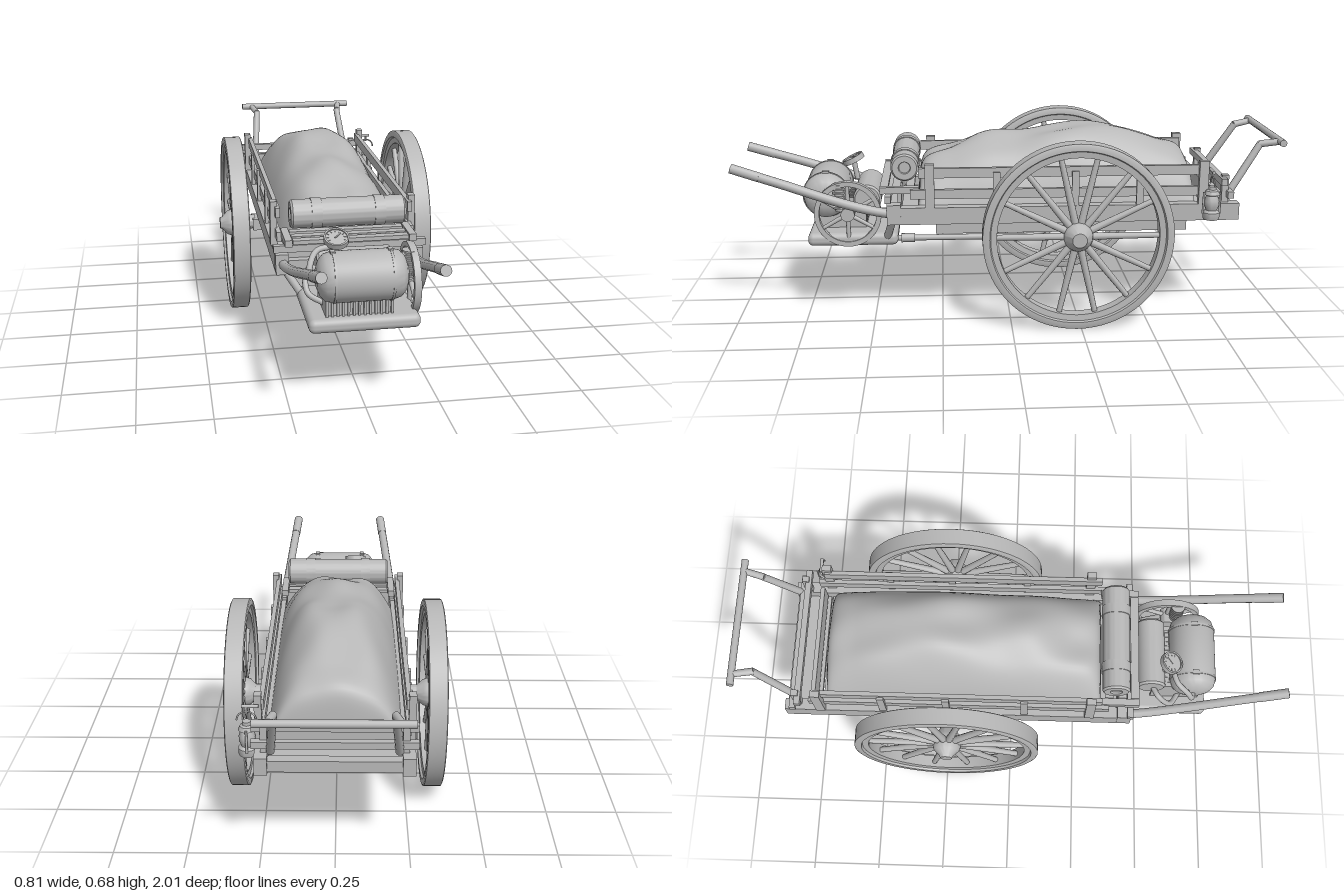
import * as THREE from 'three';
import { toCreasedNormals } from 'three/addons/utils/BufferGeometryUtils.js';
import { RoundedBoxGeometry } from 'three/addons/geometries/RoundedBoxGeometry.js';

export function createModel() {
  const model = new THREE.Group();
  const grey = new THREE.MeshStandardMaterial({ color: 0xb8b8b8 });
  const cloth = new THREE.MeshStandardMaterial({ color: 0xb8b8b8, side: THREE.DoubleSide });
  grey.name = 'plainGrey';
  cloth.name = 'clothGrey';
  const V = (x, y, z) => new THREE.Vector3(x, y, z);

  function add(name, geo, x = 0, y = 0, z = 0, parent = model, mat = grey) {
    const m = new THREE.Mesh(geo, mat);
    m.name = name;
    m.position.set(x, y, z);
    parent.add(m);
    return m;
  }
  const box = (name, w, h, d, x, y, z, parent) =>
    add(name, new THREE.BoxGeometry(w, h, d), x, y, z, parent);
  // Round bar between two points
  function bar(name, a, b, r0, r1 = r0, parent = model, seg = 14) {
    const m = add(name, new THREE.CylinderGeometry(r1, r0, a.distanceTo(b), seg), 0, 0, 0, parent);
    m.position.copy(a).add(b).multiplyScalar(0.5);
    m.quaternion.setFromUnitVectors(V(0, 1, 0), b.clone().sub(a).normalize());
    return m;
  }
  const tube = (name, pts, r, parent) =>
    add(name, new THREE.TubeGeometry(new THREE.CatmullRomCurve3(pts), 28, r, 10), 0, 0, 0, parent);
  // Turned part; profile is [radius, height], optionally laid along x
  function turned(profile, alongX = true, seg = 48) {
    const g = new THREE.LatheGeometry(profile.map(p => new THREE.Vector2(...p)), seg);
    if (alongX) g.rotateZ(-Math.PI / 2);
    return toCreasedNormals(g, 0.6);
  }

  // Wheels and axle
  const tyre = [[0.29, -0.022], [0.312, -0.024], [0.316, -0.033], [0.336, -0.033], [0.341, -0.030], [0.341, 0.030],
    [0.336, 0.033], [0.316, 0.033], [0.312, 0.024], [0.29, 0.022], [0.29, -0.022]];
  const hub = [[0, -0.06], [0.022, -0.06], [0.026, -0.05], [0.047, -0.03], [0.052, -0.015], [0.052, 0.015],
    [0.047, 0.03], [0.03, 0.05], [0.026, 0.058], [0, 0.058]];
  for (const s of [-1, 1]) {
    const wheel = new THREE.Group();
    wheel.name = s > 0 ? 'leftWheel' : 'rightWheel';
    wheel.position.set(s * 0.344, 0.341, -0.235);
    model.add(wheel);
    add('tyre', turned(tyre, true, 72), 0, 0, 0, wheel);
    add('hub', turned(hub), 0, 0, 0, wheel);
    for (let i = 0; i < 14; i++) {
      const a = (i + 0.5) / 14 * Math.PI * 2, c = Math.cos(a), n = Math.sin(a);
      bar('spoke', V(0, c * 0.04, n * 0.04), V(0, c * 0.295, n * 0.295), 0.014, 0.010, wheel, 10);
    }
  }
  bar('axle', V(-0.32, 0.341, -0.235), V(0.32, 0.341, -0.235), 0.02);

  // Bed: floor planks, cross beams and side frames
  for (let i = 0; i < 11; i++) box('floorPlank', 0.43, 0.018, 0.107, 0, 0.385, 0.37 - i * 0.113);
  for (const z of [0.42, -0.81]) box('crossBeam', 0.44, 0.04, 0.035, 0, 0.395, z);
  for (const s of [-1, 1]) {
    const side = new THREE.Group();
    side.name = s > 0 ? 'leftSide' : 'rightSide';
    model.add(side);
    box('bedRail', 0.042, 0.062, 1.28, s * 0.235, 0.398, -0.195, side);
    box('underBeam', 0.035, 0.042, 0.92, s * 0.205, 0.343, -0.19, side);
    box('axleBlock', 0.06, 0.045, 0.08, s * 0.245, 0.338, -0.235, side);
    add('axleCollar', turned([[0, -0.02], [0.028, -0.02], [0.028, 0.02], [0, 0.02]]), s * 0.285, 0.341, -0.235, side);
    box('upperRail', 0.016, 0.036, 1.04, s * 0.235, 0.553, -0.19, side);
    box('lowerRail', 0.016, 0.034, 1.1, s * 0.235, 0.475, -0.19, side);
    for (const z of [0.29, -0.70]) box('post', 0.024, 0.16, 0.034, s * 0.247, 0.508, z, side);
    for (const z of [0.05, -0.235, -0.47]) box('sideStake', 0.014, 0.13, 0.026, s * 0.245, 0.49, z, side);
    box('frontStrip', 0.025, 0.024, 0.14, s * 0.215, 0.487, 0.40, side);

    // Pulling shafts at the front
    const shaft = [V(s * 0.234, 0.395, 0.36), V(s * 0.228, 0.41, 0.48), V(s * 0.217, 0.445, 0.62),
      V(s * 0.201, 0.51, 0.82), V(s * 0.187, 0.563, 0.99)];
    tube('pullShaft', shaft, 0.017, side);
    bar('shaftGrip', V(s * 0.194, 0.535, 0.90), V(s * 0.186, 0.567, 1.0), 0.018, 0.018, side);
    box('shaftBracket', 0.045, 0.06, 0.05, s * 0.235, 0.41, 0.42, side);

    // Push handle arms at the rear
    bar('lowerArm', V(s * 0.205, 0.43, -0.79), V(s * 0.183, 0.635, -0.92), 0.014, 0.013, side);
    bar('upperArm', V(s * 0.183, 0.633, -0.915), V(s * 0.2, 0.645, -0.99), 0.013, 0.012, side);
    box('rearPost', 0.022, 0.12, 0.025, s * 0.225, 0.47, -0.785, side);
  }
  bar('pushHandle', V(-0.242, 0.646, -0.988), V(0.242, 0.646, -0.988), 0.013);
  for (const [y, z] of [[0.462, 0.44], [0.462, -0.8], [0.51, -0.775]])
    box('endRail', 0.53, 0.025, 0.022, 0, y, z);
  box('frontBoard', 0.42, 0.07, 0.016, 0, 0.445, 0.40);
  box('tailBoard', 0.42, 0.08, 0.016, 0, 0.45, -0.725);
  for (const z of [0.36, 0.41, 0.455]) box('frontSlat', 0.4, 0.014, 0.03, 0, 0.490, z);

  // Draped load, lofted along a ridge line
  const ridge = new THREE.CatmullRomCurve3([V(0, 0.44, 0.335), V(0, 0.56, 0.31), V(0, 0.605, 0.20), V(0, 0.642, 0.09),
    V(0, 0.65, -0.05), V(0, 0.67, -0.17), V(0, 0.68, -0.28), V(0, 0.665, -0.42), V(0, 0.628, -0.56),
    V(0, 0.58, -0.66), V(0, 0.44, -0.685)]);
  const drape = new THREE.PlaneGeometry(2, 2, 48, 80).rotateX(-Math.PI / 2);
  const pos = drape.attributes.position;
  for (let i = 0; i < pos.count; i++) {
    const u = Math.sin(pos.getX(i) * Math.PI / 2), p = ridge.getPoint((1 - pos.getZ(i)) / 2);
    const arch = Math.pow(Math.max(0, 1 - Math.abs(u) ** 3), 0.85), lift = Math.max(0, p.y - 0.40);
    const folds = 0.008 * Math.sin(u * 5 + 1.8) * Math.sin(p.z * 16 + 1 + u) + 0.005 * Math.sin(u * 8 - p.z * 9 + 2);
    pos.setXYZ(i, u * 0.224, 0.40 + lift * arch + folds * arch * Math.min(1, lift * 5), p.z);
  }
  drape.computeVertexNormals();
  add('drapedLoad', drape, 0, 0, 0, model, cloth);

  // Bedroll with straps
  const roll = new THREE.Group();
  roll.name = 'bedroll';
  roll.position.set(0, 0.564, 0.38);
  model.add(roll);
  add('roll', turned([[0, -0.193], [0.02, -0.193], [0.022, -0.2], [0.044, -0.2], [0.05, -0.193], [0.05, 0.193],
    [0.044, 0.2], [0.022, 0.2], [0.02, 0.193], [0, 0.193]]), 0, 0, 0, roll);
  for (const x of [-0.11, 0.11])
    add('strap', turned([[0.049, -0.018], [0.053, -0.018], [0.053, 0.018], [0.049, 0.018]]), x, 0, 0, roll);

  // Engine tray and its hangers
  add('engineTray', new RoundedBoxGeometry(0.37, 0.048, 0.33, 4, 0.02), 0, 0.291, 0.575);
  for (const s of [-1, 1]) bar('trayHanger', V(s * 0.17, 0.295, 0.45), V(s * 0.235, 0.395, 0.42), 0.014);
  bar('driveRod', V(0.13, 0.28, 0.42), V(0.13, 0.28, -0.1), 0.011);
  bar('driveSleeve', V(0.13, 0.28, 0.40), V(0.13, 0.28, 0.35), 0.017);
  bar('driveLink', V(0.13, 0.28, -0.09), V(0.13, 0.341, -0.225), 0.01);

  // Engine block with cooling fins
  box('engineBlock', 0.22, 0.12, 0.16, -0.015, 0.365, 0.62);
  for (let i = 0; i < 13; i++) box('coolingFin', 0.008, 0.12, 0.18, -0.123 + i * 0.018, 0.37, 0.62);

  // Pressure tank and rear cylinder
  const tank = [[0, -0.15], [0.035, -0.15], [0.06, -0.14], [0.077, -0.124], [0.085, -0.095], [0.085, 0.095],
    [0.077, 0.124], [0.06, 0.14], [0.035, 0.15], [0, 0.15]];
  add('tank', turned(tank), -0.003, 0.44, 0.675);
  for (const x of [-0.1, 0.09]) {
    add('tankBand', turned([[0.084, -0.004], [0.087, -0.004], [0.087, 0.004], [0.084, 0.004]]), x, 0.44, 0.675);
    box('tankClip', 0.016, 0.012, 0.024, x, 0.524, 0.675);
  }
  add('rearCylinder', turned([[0, -0.13], [0.045, -0.13], [0.052, -0.122], [0.052, 0.122], [0.045, 0.13], [0, 0.13]]),
    -0.003, 0.43, 0.522);
  tube('tankPipe', [V(-0.145, 0.43, 0.675), V(-0.172, 0.44, 0.67), V(-0.168, 0.48, 0.65), V(-0.14, 0.51, 0.61), V(-0.08, 0.515, 0.59)], 0.01);
  tube('lowerPipe', [V(-0.13, 0.42, 0.53), V(-0.165, 0.42, 0.55), V(-0.17, 0.36, 0.6), V(-0.11, 0.33, 0.64)], 0.01);

  // Flywheel with spokes
  const fly = new THREE.Group();
  fly.name = 'flywheel';
  fly.position.set(0.178, 0.39, 0.59);
  model.add(fly);
  add('flywheelRim', turned([[0.104, -0.012], [0.122, -0.012], [0.122, 0.012], [0.104, 0.012], [0.104, -0.012]]), 0, 0, 0, fly);
  add('flywheelHub', turned([[0, -0.04], [0.025, -0.04], [0.025, 0.02], [0, 0.02]]), 0, 0, 0, fly);
  for (let i = 0; i < 6; i++) {
    const a = i / 6 * Math.PI * 2;
    bar('flywheelSpoke', V(0, 0, 0), V(0, Math.cos(a) * 0.108, Math.sin(a) * 0.108), 0.009, 0.007, fly);
  }
  // Small finned cylinder beside the flywheel
  bar('sideCylinder', V(0.168, 0.40, 0.62), V(0.168, 0.5, 0.62), 0.018);
  for (let i = 0; i < 7; i++) bar('sideFin', V(0.168, 0.41 + i * 0.014, 0.62), V(0.168, 0.416 + i * 0.014, 0.62), 0.026);

  // Pressure gauge, tilted upward
  const gauge = new THREE.Group();
  gauge.name = 'gauge';
  gauge.position.set(-0.072, 0.54, 0.585);
  gauge.rotation.x = 0.45;
  model.add(gauge);
  add('gaugeCase', turned([[0, -0.012], [0.042, -0.012], [0.042, 0.008], [0.036, 0.008], [0.036, 0.003], [0, 0.003]], false), 0, 0, 0, gauge);
  for (let i = 0; i < 9; i++) {
    const a = (i - 4) * 0.5;
    box('gaugeMark', 0.003, 0.002, 0.008, Math.sin(a) * 0.029, 0.004, -Math.cos(a) * 0.029, gauge).rotation.y = -a;
  }
  box('gaugeNeedle', 0.004, 0.003, 0.03, 0.006, 0.005, -0.008, gauge).rotation.y = -0.8;
  bar('gaugeStem', V(-0.072, 0.46, 0.57), V(-0.072, 0.535, 0.583), 0.01);

  // Hanging lantern at the rear left
  const lantern = new THREE.Group();
  lantern.name = 'lantern';
  lantern.position.set(0.283, 0.38, -0.725);
  model.add(lantern);
  add('lanternBody', turned([[0, 0], [0.028, 0], [0.03, 0.006], [0.03, 0.026], [0.02, 0.034], [0.026, 0.05], [0.027, 0.068],
    [0.02, 0.088], [0.028, 0.092], [0.022, 0.106], [0.014, 0.11], [0.014, 0.122], [0, 0.126]], false, 24), 0, 0, 0, lantern);
  for (const s of [-1, 1]) bar('lanternGuard', V(0, 0.02, s * 0.031), V(0, 0.1, s * 0.029), 0.004, 0.004, lantern);
  add('lanternBail', new THREE.TorusGeometry(0.031, 0.003, 8, 20, Math.PI), 0, 0.125, 0, lantern);
  bar('lanternHook', V(-0.04, 0.175, 0), V(0.015, 0.175, 0), 0.006, 0.006, lantern);
  bar('lanternHanger', V(0, 0.15, 0), V(0, 0.178, 0), 0.004, 0.004, lantern);

  return model;
}
